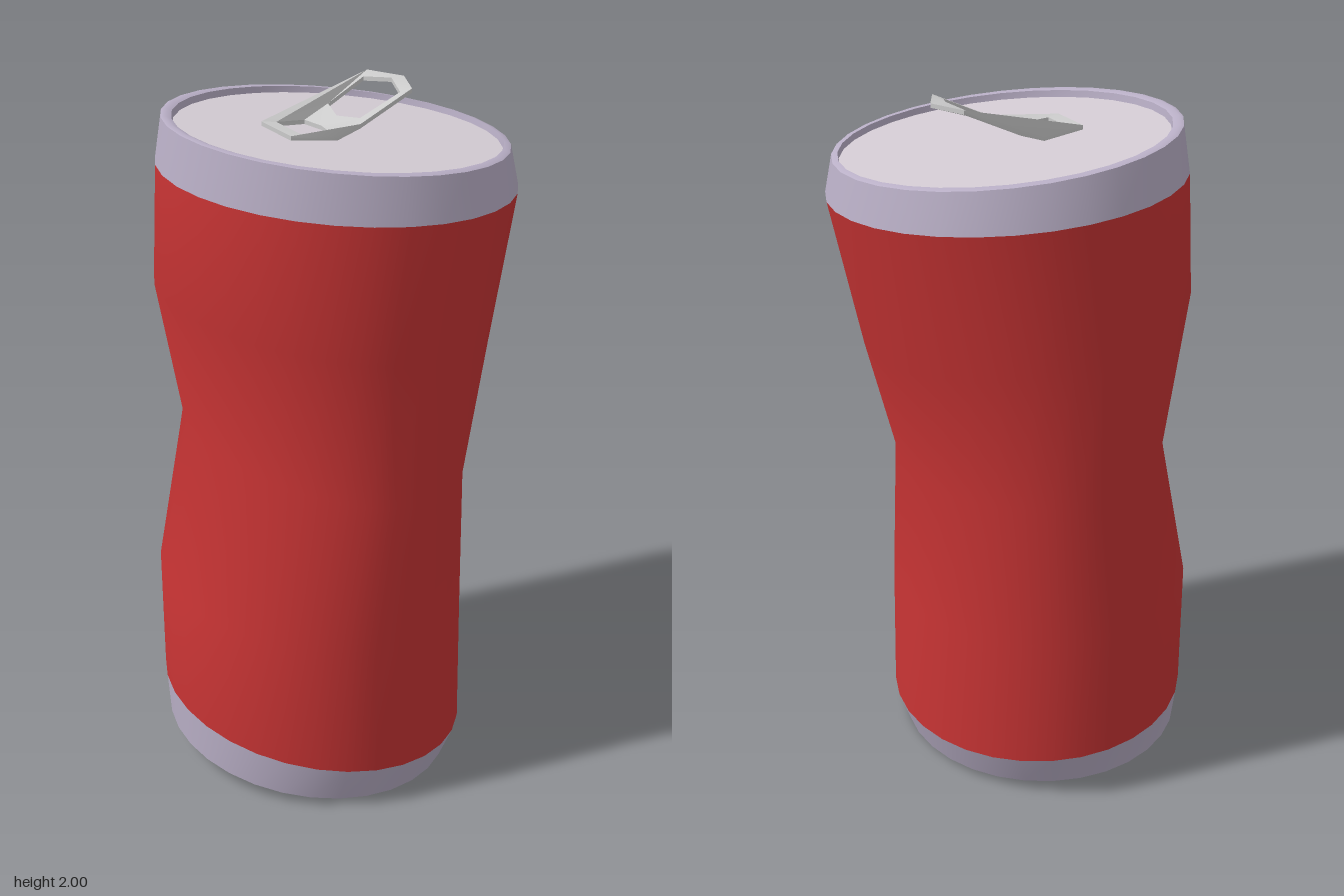
import * as THREE from 'three';
import { toCreasedNormals } from 'three/addons/utils/BufferGeometryUtils.js';

const SIDES = 32;
const TILT_Z = 0.04; // the whole can leans slightly towards the front

// Lofts oval rings, each [left x, left y, right x, right y, z radius], from bottom to top.
function loft(rings, crease) {
  const pos = [], index = [];
  rings.forEach(([xl, yl, xr, yr, rz], r) => {
    for (let j = 0; j < SIDES; j++) {
      const a = (j / SIDES) * Math.PI * 2, t = (1 + Math.cos(a)) / 2;
      const z = rz * Math.sin(a);
      pos.push(xl + (xr - xl) * t, yl + (yr - yl) * t - TILT_Z * z, z);
      if (r === rings.length - 1) continue;
      const k = (j + 1) % SIDES, a0 = r * SIDES + j, b0 = r * SIDES + k;
      index.push(a0, a0 + SIDES, b0, b0, a0 + SIDES, b0 + SIDES);
    }
  });
  const geo = new THREE.BufferGeometry();
  geo.setAttribute('position', new THREE.Float32BufferAttribute(pos, 3));
  geo.setIndex(index);
  geo.computeVertexNormals();
  return crease ? toCreasedNormals(geo, crease) : geo;
}

// Crushed pull tab: a flat foot that bends up into a raised ring.
function tabGeometry() {
  const mirrored = (half) => {
    const back = half.filter(([, z]) => z > 0).reverse().map(([x, z]) => [x, -z]);
    return [...half, ...back].map(([x, z]) => new THREE.Vector2(x, z));
  };
  const shape = new THREE.Shape(mirrored(
    [[-0.18, 0.077], [-0.05, 0.104], [0.02, 0.107], [0.185, 0.11], [0.235, 0]]));
  shape.holes.push(
    new THREE.Path(mirrored([[-0.142, 0.062], [-0.05, 0.065], [-0.037, 0]])),
    new THREE.Path(mirrored([[0.013, 0], [0.036, 0.08], [0.16, 0.09], [0.193, 0]])));
  const geo = new THREE.ExtrudeGeometry(shape, { depth: 0.012, bevelEnabled: false });
  geo.rotateX(-Math.PI / 2);
  const p = geo.attributes.position;
  for (let i = 0; i < p.count; i++) {
    const x = p.getX(i), z = p.getZ(i);
    const foot = 1.883 - 0.082 * x;
    const raised = Math.min(1.887 + 0.46 * (x + 0.03), 1.988);
    p.setY(i, p.getY(i) + Math.max(foot, raised) - TILT_Z * z);
  }
  geo.computeVertexNormals();
  return toCreasedNormals(geo, 0.6);
}

export function createModel() {
  const can = new THREE.Group();
  can.name = 'crushedCan';
  const add = (name, geo, color) => {
    const mat = new THREE.MeshStandardMaterial({ color, side: THREE.DoubleSide });
    const mesh = new THREE.Mesh(geo, mat);
    mesh.name = name;
    can.add(mesh);
  };

  const lowerSeam = [-0.515, 0.18, 0.35, 0.10, 0.507];
  const upperSeam = [-0.485, 1.80, 0.512, 1.738, 0.508];
  const baseEdge = [-0.475, 0.085, 0.285, 0.04, 0.435];
  const lidEdge = [-0.435, 1.908, 0.473, 1.833, 0.447];
  const metal = 0xb9afc6, plate = 0xd4ccd4;

  // Painted wall with a pinched waist
  add('body', loft([
    lowerSeam,
    [-0.515, 0.56, 0.343, 0.50, 0.506],
    [-0.41, 1.02, 0.32, 0.93, 0.505],
    [-0.50, 1.46, 0.42, 1.31, 0.506],
    upperSeam,
  ]), 0xc83434);

  // Rolled metal rims
  add('bottomRim', loft([
    baseEdge,
    [-0.485, 0.055, 0.295, 0.01, 0.445],
    [-0.511, 0.055, 0.318, 0.01, 0.47],
    lowerSeam,
  ], 0.8), metal);
  add('topRim', loft([
    upperSeam,
    [-0.467, 1.932, 0.492, 1.844, 0.478],
    [-0.455, 1.935, 0.487, 1.847, 0.465],
    [-0.438, 1.928, 0.476, 1.85, 0.45],
    lidEdge,
  ], 0.8), metal);

  // Recessed end plates, each closed to its centre
  const centre = ([xl, yl, xr, yr]) => {
    const x = (xl + xr) / 2, y = (yl + yr) / 2;
    return [x, y, x, y, 0];
  };
  add('base', loft([centre(baseEdge), baseEdge], 0.5), plate);
  add('lid', loft([lidEdge, centre(lidEdge)], 0.5), plate);

  add('pullTab', tabGeometry(), 0xdedcdf);
  return can;
}
